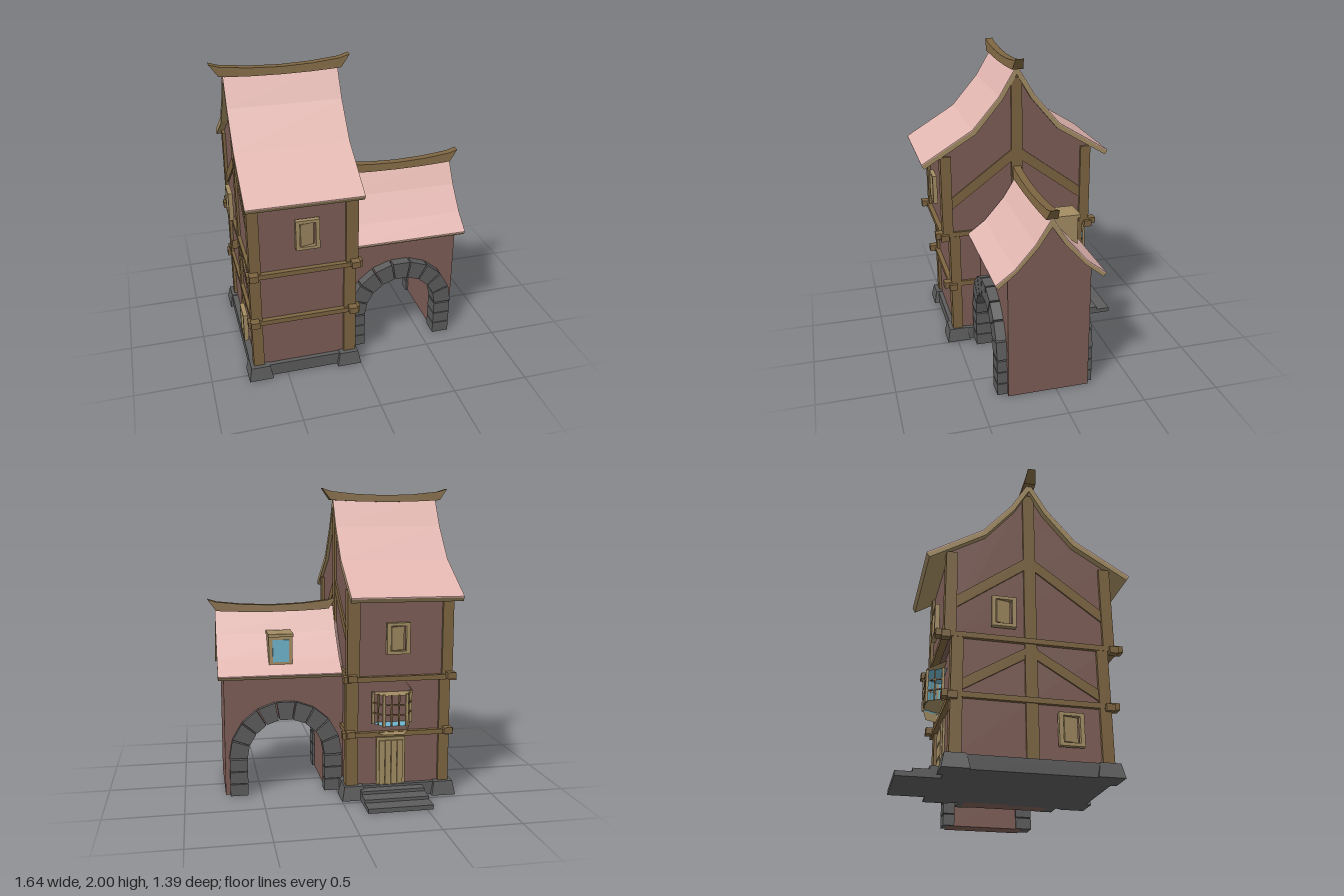
import * as THREE from 'three';

const mat = (color, side = THREE.FrontSide) => new THREE.MeshStandardMaterial({ color, flatShading: true, side });
const WALL = mat(0x7d5d56), ROOF = mat(0xe3b7b1), WOOD = mat(0x7d6541), TRIM = mat(0xa38d63);
const STONE = mat(0x5c5c5c), GLASS = mat(0x6fb4cc);

function add(parent, name, geometry, material, x = 0, y = 0, z = 0) {
  const mesh = new THREE.Mesh(geometry, material);
  mesh.name = name;
  mesh.position.set(x, y, z);
  parent.add(mesh);
  return mesh;
}

// Box given by its limits on each axis
function box(parent, name, material, [x0, x1], [y0, y1], [z0, z1]) {
  return add(parent, name, new THREE.BoxGeometry(x1 - x0, y1 - y0, z1 - z0), material,
    (x0 + x1) / 2, (y0 + y1) / 2, (z0 + z1) / 2);
}

const polygon = pts => new THREE.Shape(pts.map(p => new THREE.Vector2(...p)));
const extrude = (shape, depth) => new THREE.ExtrudeGeometry(shape, { depth, bevelEnabled: false, curveSegments: 16 });

// Outline in (z, y) pulled along x
function alongX(parent, name, material, pts, x0, x1) {
  const g = extrude(polygon(pts.map(([z, y]) => [-z, y])), x1 - x0).rotateY(Math.PI / 2);
  return add(parent, name, g, material, x0);
}

// Closed solid through rings of equal point count
function loft(rings) {
  const v = [], n = rings[0].length;
  const tri = (...p) => p.forEach(q => v.push(...q));
  for (let i = 0; i + 1 < rings.length; i++) for (let j = 0; j < n; j++) {
    const k = (j + 1) % n, a = rings[i], b = rings[i + 1];
    tri(a[j], a[k], b[k]);
    tri(a[j], b[k], b[j]);
  }
  const first = rings[0], last = rings[rings.length - 1];
  for (let j = 1; j + 1 < n; j++) {
    tri(first[0], first[j + 1], first[j]);
    tri(last[0], last[j], last[j + 1]);
  }
  const g = new THREE.BufferGeometry();
  g.setAttribute('position', new THREE.Float32BufferAttribute(v, 3));
  g.computeVertexNormals();
  return g;
}

const mirrored = half => [...half.slice(1).reverse().map(([z, y]) => [-z, y]), ...half];

// Swept roof: wooden slab with a thin coloured covering
function roof(parent, outer, inner, x0, x1) {
  const top = mirrored(outer), low = mirrored(inner).reverse();
  alongX(parent, 'roofSlab', TRIM, [...top, ...low], x0, x1);
  const lifted = top.map(([z, y]) => [z * 1.002, y + 0.007]);
  alongX(parent, 'roofCovering', ROOF, [...lifted, ...top.slice().reverse()], x0, x1);
}

// Ridge beam with upturned, slanted ends
function ridge(parent, cx, y) {
  const rings = [-1, -0.86, -0.45, 0, 0.45, 0.86, 1].map(t => {
    const end = Math.abs(t) === 1, up = 0.035 * t * t;
    const xt = cx + 0.435 * t, xb = cx + (end ? 0.38 * t : 0.435 * t * 0.92);
    const yt = y + up + (end ? 0.01 : 0), yb = y - 0.045 + up * 0.4;
    return [[xb, yb, 0.037], [xb, yb, -0.037], [xt, yt, -0.026], [xt, yt, 0.026]];
  });
  add(parent, 'ridgeBeam', loft(rings), WOOD);
}

// Framed shutter window facing +z
function shutterWindow(parent, name, x, y, z, turn) {
  const g = new THREE.Group();
  g.name = name;
  const frame = polygon([[-0.075, -0.1], [0.075, -0.1], [0.075, 0.1], [-0.075, 0.1]]);
  frame.holes.push(new THREE.Path([[-0.05, -0.08], [-0.05, 0.08], [0.05, 0.08], [0.05, -0.08]].map(p => new THREE.Vector2(...p))));
  add(g, 'windowFrame', extrude(frame, 0.03), TRIM);
  const shutter = add(g, 'shutter', new THREE.BoxGeometry(0.085, 0.15, 0.012), TRIM, -0.005, 0, 0.016);
  shutter.rotation.y = 0.2;
  g.position.set(x, y, z);
  g.rotation.y = turn;
  parent.add(g);
}

function buildTower() {
  const g = new THREE.Group();
  g.name = 'tower';
  const outer = [[0, 1.945], [0.12, 1.745], [0.3, 1.535], [0.643, 1.325]];
  const inner = [[0, 1.89], [0.095, 1.73], [0.28, 1.51], [0.627, 1.3]];

  // Foundation, corner stones and back steps
  box(g, 'foundation', STONE, [-0.74, -0.02], [0, 0.085], [-0.485, 0.485]);
  for (const x of [-0.68, -0.08]) for (const z of [-0.44, 0.44]) {
    const stone = new THREE.CylinderGeometry(0.088, 0.113, 0.09, 4).rotateY(Math.PI / 4);
    add(g, 'cornerStone', stone, STONE, x, 0.045, z);
  }
  [[0.07, -0.55], [0.05, -0.645], [0.03, -0.745]].forEach(([h, z]) =>
    box(g, 'step', STONE, [-0.54, -0.12], [0, h], [z, -0.45]));

  // Walls: two lower floors and the overhanging gabled floor
  box(g, 'lowerWalls', WALL, [-0.7, -0.05], [0.08, 0.8], [-0.455, 0.455]);
  alongX(g, 'upperWalls', WALL, mirrored([[0, 1.9], [0.095, 1.735], [0.28, 1.515], [0.5, 1.38], [0.5, 0.8]]), -0.7, -0.05);

  // Corner posts
  for (const s of [-1, 1]) for (const [x0, x1] of [[-0.72, -0.65], [-0.11, -0.03]]) {
    const span = (a, b) => s > 0 ? [a, b] : [-b, -a];
    box(g, 'lowerPost', WOOD, [x0, x1], [0.085, 0.8], span(0.405, 0.475));
    box(g, 'upperPost', WOOD, [x0, x1], [0.8, 1.37], span(0.45, 0.52));
  }

  // Floor beams with projecting ends
  for (const [y, half] of [[0.42, 0.465], [0.795, 0.51]]) {
    for (const z of [-half, half]) {
      box(g, 'crossBeam', WOOD, [-0.725, -0.025], [y - 0.01, y + 0.022], [z - 0.022, z + 0.022]);
      for (const x of [-0.72, -0.03])
        box(g, 'beamEnd', WOOD, [x - 0.022, x + 0.025], [y - 0.015, y + 0.028], [z - 0.027, z + 0.027]);
    }
    for (const x of [-0.7, -0.055]) {
      box(g, 'sideBeam', WOOD, [x - 0.022, x + 0.022], [y + 0.002, y + 0.036], [-half - 0.03, half + 0.03]);
      for (const z of [-half - 0.03, half + 0.03])
        box(g, 'beamEnd', WOOD, [x - 0.028, x + 0.028], [y - 0.002, y + 0.04], [z - 0.03, z + 0.03]);
    }
  }

  // Gable post and diagonal braces
  box(g, 'gablePost', WOOD, [-0.715, -0.035], [0.085, 1.87], [-0.037, 0.037]);
  for (const s of [-1, 1]) {
    alongX(g, 'upperBrace', WOOD, [[0.46 * s, 0.99], [0.46 * s, 1.07], [0, 1.41], [0, 1.33]], -0.71, -0.04);
    alongX(g, 'middleBrace', WOOD, [[0.41 * s, 0.47], [0.41 * s, 0.54], [0, 0.79], [0, 0.72]], -0.71, -0.6);
  }

  roof(g, outer, inner, -0.742, -0.028);
  ridge(g, -0.388, 1.958);

  shutterWindow(g, 'frontWindow', -0.355, 1.06, 0.51, 0);
  shutterWindow(g, 'backWindow', -0.355, 1.06, -0.51, Math.PI);
  shutterWindow(g, 'upperSideWindow', -0.72, 0.98, -0.17, -Math.PI / 2);
  shutterWindow(g, 'lowerSideWindow', -0.72, 0.27, 0.22, -Math.PI / 2);

  // Plank door
  box(g, 'doorFrame', TRIM, [-0.425, -0.235], [0.07, 0.4], [-0.468, -0.45]);
  for (let i = 0; i < 4; i++)
    box(g, 'doorPlank', TRIM, [-0.408 + i * 0.04, -0.372 + i * 0.04], [0.07, 0.38], [-0.478, -0.45]);
  buildBay(g);
  return g;
}

// Three-sided bay window on the back wall
function buildBay(parent) {
  const g = new THREE.Group();
  g.name = 'bayWindow';
  g.position.set(-0.33, 0, -0.455);
  const ring = (y, s, d) => [[0.125 * s, y, 0.02], [0.125 * s, y, -0.025 * d], [0.075 * s, y, -0.115 * d],
    [-0.075 * s, y, -0.115 * d], [-0.125 * s, y, -0.025 * d], [-0.125 * s, y, 0.02]].reverse();
  add(g, 'bayBase', loft([ring(0.44, 0.85, 0.85), ring(0.51, 1, 1)]), TRIM);
  add(g, 'bayGlass', loft([ring(0.5, 0.96, 0.96), ring(0.71, 0.96, 0.96)]), GLASS);
  add(g, 'bayRoof', loft([ring(0.7, 1.06, 1.03), ring(0.715, 1.06, 1.03), ring(0.775, 0.7, 0.25)]), TRIM);
  const plan = [[-0.125, -0.025], [-0.075, -0.115], [0.075, -0.115], [0.125, -0.025]];
  plan.forEach(([x, z]) => add(g, 'bayPost', new THREE.BoxGeometry(0.016, 0.21, 0.016), TRIM, x, 0.605, z));
  for (let i = 0; i < 3; i++) {
    const [ax, az] = plan[i], [bx, bz] = plan[i + 1];
    const length = Math.hypot(bx - ax, bz - az), count = i === 1 ? 3 : 2;
    for (const y of [0.575, 0.64]) {
      const bar = add(g, 'glazingBar', new THREE.BoxGeometry(length, 0.008, 0.01), WOOD, (ax + bx) / 2, y, (az + bz) / 2);
      bar.rotation.y = Math.atan2(az - bz, bx - ax);
    }
    for (let k = 1; k < count; k++)
      add(g, 'glazingBar', new THREE.BoxGeometry(0.009, 0.2, 0.009), WOOD, ax + (bx - ax) * k / count, 0.605, az + (bz - az) * k / count);
  }
  parent.add(g);
}

function buildGatehouse() {
  const g = new THREE.Group();
  g.name = 'gatehouse';
  const cx = 0.335, cy = 0.25;

  // Wall block with an arched passage, and gable above
  const wall = new THREE.Shape();
  wall.moveTo(-0.05, 0).lineTo(cx - 0.268, 0).lineTo(cx - 0.268, cy);
  wall.absarc(cx, cy, 0.268, Math.PI, 0, true);
  wall.lineTo(cx + 0.268, 0).lineTo(0.735, 0).lineTo(0.735, 0.8).lineTo(-0.05, 0.8);
  add(g, 'passageWalls', extrude(wall, 0.53), WALL, 0, 0, -0.265);
  alongX(g, 'gable', WALL, mirrored([[0, 1.16], [0.08, 1.035], [0.215, 0.885], [0.265, 0.84], [0.265, 0.8]]), -0.05, 0.735);

  // Arch stones on both faces
  for (const [z, depth] of [[0.22, 0.11], [-0.3, 0.08]]) {
    for (let i = 0; i < 9; i++) {
      const a = (i + 0.04) * Math.PI / 9, b = (i + 0.96) * Math.PI / 9;
      const pt = (r, t) => [cx + r * Math.cos(t), cy + r * Math.sin(t)];
      add(g, 'archStone', extrude(polygon([pt(0.255, a), pt(0.374, a), pt(0.374, b), pt(0.255, b)]), depth), STONE, 0, 0, z);
    }
    for (const s of [-1, 1]) for (let i = 0; i < 3; i++)
      add(g, 'jambStone', new THREE.BoxGeometry(0.116, 0.077, depth), STONE, cx + s * 0.312, 0.039 + i * 0.083, z + depth / 2);
  }

  roof(g, [[0, 1.205], [0.1, 1.045], [0.23, 0.895], [0.348, 0.805]],
    [[0, 1.15], [0.08, 1.03], [0.215, 0.88], [0.332, 0.785]], -0.03, 0.772);
  ridge(g, 0.385, 1.228);

  // Dormer on the back slope
  box(g, 'dormer', TRIM, [0.285, 0.44], [0.855, 1.055], [-0.275, -0.06]);
  box(g, 'dormerRoof', TRIM, [0.28, 0.445], [1.05, 1.07], [-0.292, -0.11]);
  box(g, 'dormerGlass', GLASS, [0.31, 0.415], [0.885, 1.03], [-0.282, -0.27]);
  return g;
}

export function createModel() {
  const model = new THREE.Group();
  model.name = 'timberHouse';
  const house = new THREE.Group();
  house.name = 'house';
  house.add(buildTower(), buildGatehouse());
  house.position.z = 0.05;
  model.add(house);
  return model;
}
